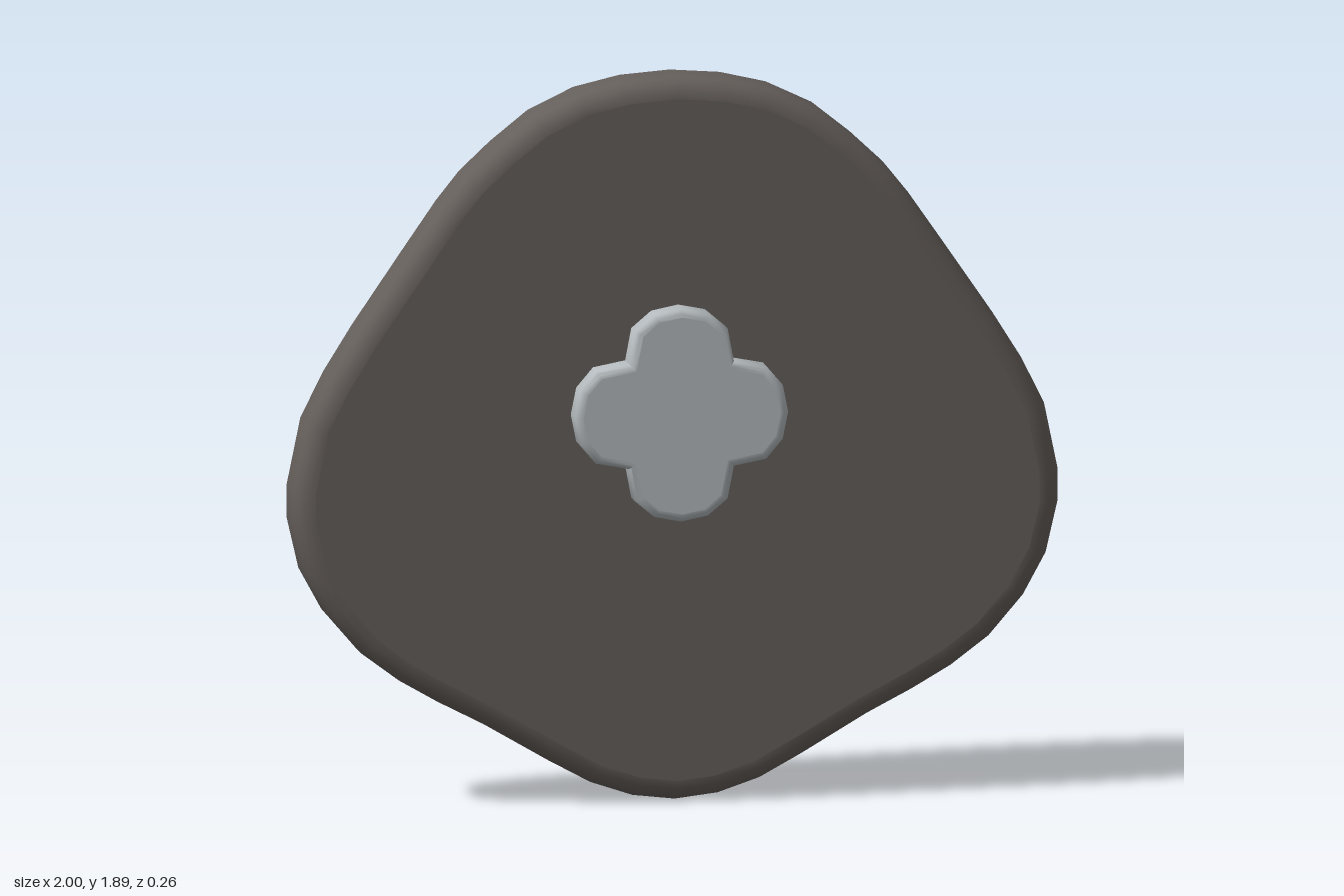
import * as THREE from 'three';
import { toCreasedNormals } from 'three/addons/utils/BufferGeometryUtils.js';

// Extrude an outline between two z values with rounded rims, smooth sides and flat caps
function roundedPlate(name, points, zBack, zFront, radius, color) {
  const shape = new THREE.Shape(points.map(([x, y]) => new THREE.Vector2(x, y)));
  const raw = new THREE.ExtrudeGeometry(shape, {
    depth: zFront - zBack - 2 * radius,
    bevelEnabled: true,
    bevelThickness: radius,
    bevelSize: radius,
    bevelOffset: -radius,
    bevelSegments: 4,
  });
  raw.translate(0, 0, zBack + radius);
  const geometry = toCreasedNormals(raw, 0.75);

  // Keep both caps flat shaded
  const pos = geometry.attributes.position;
  const normal = geometry.attributes.normal;
  for (let i = 0; i < pos.count; i += 3) {
    for (const [z, nz] of [[zBack, -1], [zFront, 1]]) {
      if ([0, 1, 2].every((k) => Math.abs(pos.getZ(i + k) - z) < 1e-4)) {
        for (let k = 0; k < 3; k++) normal.setXYZ(i + k, 0, 0, nz);
      }
    }
  }

  const mesh = new THREE.Mesh(geometry, new THREE.MeshStandardMaterial({ color }));
  mesh.name = name;
  return mesh;
}

export function createModel() {
  const group = new THREE.Group();
  group.name = 'roundedSlabWithClover';

  // Slab: right half of the outline from bottom to top, then mirrored
  const half = [
    [0, 0], [0.11, 0.013], [0.22, 0.05], [0.33, 0.11], [0.5, 0.21],
    [0.62, 0.272], [0.72, 0.33], [0.82, 0.405], [0.91, 0.51], [0.97, 0.62],
    [1, 0.75], [1, 0.84], [0.965, 1.01], [0.905, 1.13], [0.83, 1.25],
    [0.7, 1.44], [0.61, 1.57], [0.55, 1.645], [0.47, 1.72], [0.37, 1.8],
    [0.25, 1.857], [0.13, 1.885], [0, 1.895],
  ];
  const mirrored = half.slice(1, -1).reverse().map(([x, y]) => [-x, y]);
  group.add(roundedPlate('slab', [...half, ...mirrored], -0.13, 0.057, 0.055, 0x655f5b));

  // Clover: one quarter turned four times around its centre
  const quarter = [[0.28, 0], [0.266, 0.07], [0.222, 0.122], [0.138, 0.138], [0.122, 0.222], [0.07, 0.266]];
  const clover = [];
  for (let i = 0; i < 4; i++) {
    const c = Math.cos(i * Math.PI / 2), s = Math.sin(i * Math.PI / 2);
    for (const [x, y] of quarter) clover.push([x * c - y * s, 1.023 + x * s + y * c]);
  }
  group.add(roundedPlate('clover', clover, 0.02, 0.127, 0.022, 0xb4babd));

  return group;
}
